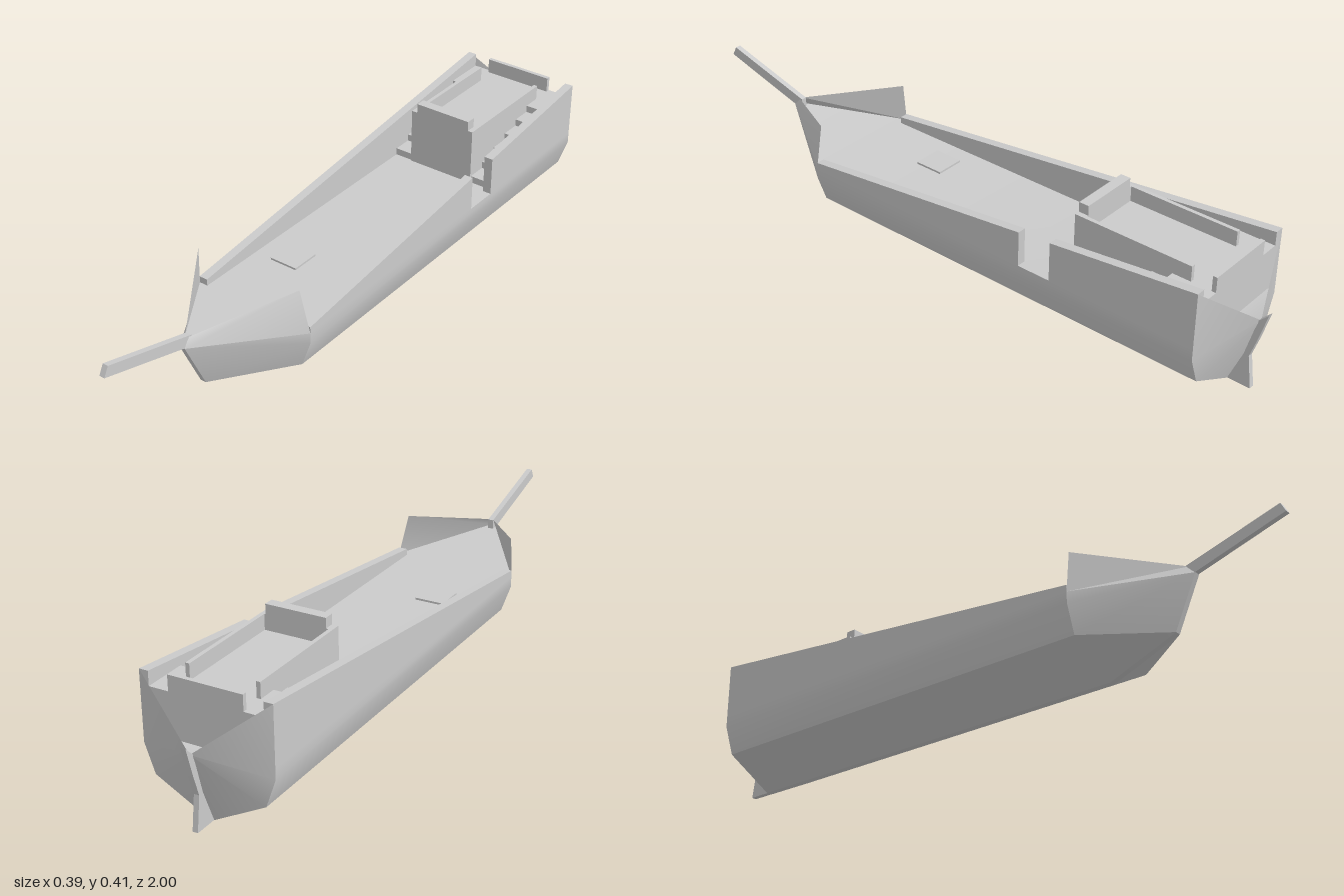
import * as THREE from 'three';
import { toCreasedNormals } from 'three/addons/utils/BufferGeometryUtils.js';

const material = new THREE.MeshStandardMaterial({ color: 0xcccccc, side: THREE.DoubleSide });
const BOW = 0.435, STERN = -0.9, DECK = 0.2;

// Convex polygons, each a list of [x, y, z] corners
function facets(name, polygons) {
  const pos = [];
  for (const p of polygons) {
    for (let i = 1; i < p.length - 1; i++) pos.push(...p[0], ...p[i], ...p[i + 1]);
  }
  const geo = new THREE.BufferGeometry();
  geo.setAttribute('position', new THREE.Float32BufferAttribute(pos, 3));
  const mesh = new THREE.Mesh(toCreasedNormals(geo, 0.4), material);
  mesh.name = name;
  return mesh;
}

const mirror = (polygon) => polygon.map(([x, y, z]) => [-x, y, z]).reverse();

// Side profile of [z, y] points, extruded across x0..x1
function slab(name, profile, x0, x1) {
  const shape = new THREE.Shape(profile.map(([z, y]) => new THREE.Vector2(z, y)));
  const geo = new THREE.ExtrudeGeometry(shape, { depth: x1 - x0, bevelEnabled: false });
  geo.rotateY(-Math.PI / 2).translate(x1, 0, 0);
  const mesh = new THREE.Mesh(geo, material);
  mesh.name = name;
  return mesh;
}

// Box given by its limits on each axis
function block(name, x0, x1, y0, y1, z0, z1) {
  const geo = new THREE.BoxGeometry(x1 - x0, y1 - y0, z1 - z0);
  geo.translate((x0 + x1) / 2, (y0 + y1) / 2, (z0 + z1) / 2);
  const mesh = new THREE.Mesh(geo, material);
  mesh.name = name;
  return mesh;
}

function createHull() {
  const section = [[0.009, 0], [0.165, 0.083], [0.195, 0.167], [0.195, DECK]];
  const f = section.map(([x, y]) => [x, y, BOW]);
  const b = section.map(([x, y]) => [x, y, STERN]);
  const stemLow = [0.009, 0.083, 0.65], stemTop = [0.009, 0.237, 0.72];
  const sternPoint = [0, 0.22, -0.975], corner = [0.195, 0.372, STERN];

  const half = [];
  // Long middle body
  for (let i = 0; i < 3; i++) half.push([f[i], b[i], b[i + 1], f[i + 1]]);
  // Bow
  half.push([stemLow, f[0], f[1]], [stemLow, f[1], f[2], stemTop], [stemTop, f[2], f[3]]);
  // Transom
  half.push([b[0], sternPoint, b[1]], [b[1], sternPoint, b[2]], [b[2], sternPoint, corner]);

  // Flat strip along keel and stem
  const flip = ([x, y, z]) => [-x, y, z];
  const line = [stemTop, stemLow, f[0], b[0]];
  const keel = [];
  for (let i = 0; i < 3; i++) {
    keel.push([line[i], flip(line[i]), flip(line[i + 1]), line[i + 1]]);
  }
  keel.push([b[0], flip(b[0]), sternPoint]);
  return facets('hull', [...half, ...half.map(mirror), ...keel]);
}

function createDeck() {
  const w = 0.195;
  return facets('deck', [
    [[w, DECK, BOW], [w, DECK, STERN], [-w, DECK, STERN], [-w, DECK, BOW]],
    [[w, DECK, BOW], [-w, DECK, BOW], [-0.009, 0.237, 0.72], [0.009, 0.237, 0.72]],
    [[w, DECK, STERN], [0, 0.22, -0.975], [-w, DECK, STERN]],
  ]);
}

function createCabin() {
  const cabin = new THREE.Group();
  cabin.name = 'cabin';
  const w = 0.11, floor = 0.33, top = 0.376;
  cabin.add(
    block('cabinBody', -w, w, DECK, floor, STERN, -0.46),
    block('cabinFrontWall', -w, w, DECK, top, -0.487, -0.456),
    block('cabinFrontRail', -0.091, 0.094, top, 0.406, -0.487, -0.456),
    block('cabinBackRail', -w, w, DECK, top, STERN, -0.887),
  );
  // Low side rails and the stairs alongside
  for (const s of [-1, 1]) {
    const rail = block('cabinSideRail', -0.006, 0.006, floor, top, -0.825, -0.487);
    rail.position.x = s * 0.104;
    cabin.add(rail);

    const steps = 6, rise = (floor - DECK) / steps, run = 0.0617;
    const profile = [[STERN, DECK], [-0.46, DECK]];
    for (let i = 0; i < steps; i++) {
      const z = -0.46 - i * run, y = DECK + (i + 1) * rise;
      profile.push([z, y], [i === steps - 1 ? STERN : z - run, y]);
    }
    const x = s * 0.139;
    cabin.add(slab('stairs', profile, x - 0.029, x + 0.029));
  }
  return cabin;
}

export function createModel() {
  const ship = new THREE.Group();
  ship.name = 'ship';
  ship.add(createHull(), createDeck(), createCabin());

  // Side walls rising aft; the left one has a boarding gap
  const railY = (z) => 0.22 + (0.152 * (BOW - z)) / (BOW - STERN);
  const wall = (z0, z1) => [[z0, DECK], [z0, railY(z0)], [z1, railY(z1)], [z1, DECK]];
  ship.add(
    slab('rightWall', wall(BOW, STERN), -0.195, -0.168),
    slab('leftWallFront', wall(BOW, -0.335), 0.168, 0.195),
    slab('leftWallBack', wall(-0.44, STERN), 0.168, 0.195),
  );

  // Bow shields above the stem
  for (const [s, x, y] of [[1, 0.165, 0.33], [-1, 0.188, 0.32]]) {
    const panel = [[0.009, 0.237, 0.72], [0.195, DECK, BOW], [x, y, 0.44], [0.006, 0.262, 0.7]];
    ship.add(facets('bowShield', [s > 0 ? panel : mirror(panel)]));
  }

  // Bowsprit and rudder
  ship.add(
    slab('bowsprit', [[0.69, 0.235], [0.72, 0.237], [1, 0.318], [0.985, 0.347], [0.69, 0.264]], -0.01, 0.007),
    slab('rudder', [[-0.9, 0], [-0.97, 0], [-0.956, 0.1], [-0.975, 0.16], [-1, 0.25],
      [-0.972, 0.222], [-0.94, 0.1]], -0.008, 0.008),
  );

  // Deck hatch
  ship.add(block('hatch', -0.11, -0.02, DECK, 0.206, 0.14, 0.23));
  return ship;
}
